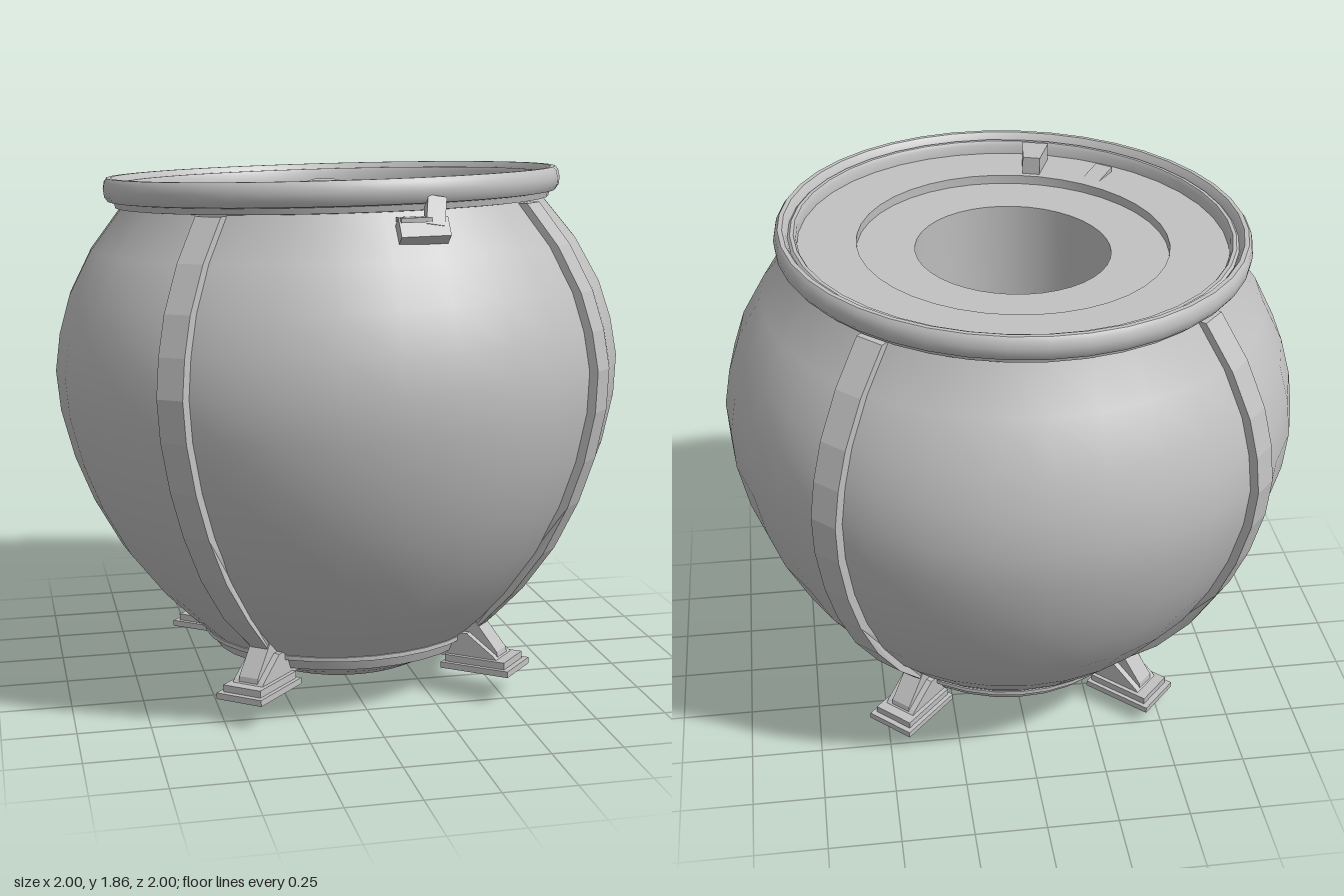
import * as THREE from 'three';
import { toCreasedNormals } from 'three/addons/utils/BufferGeometryUtils.js';

const grey = new THREE.MeshStandardMaterial({ name: 'plain grey', color: 0xc0c0c0 });

function part(name, geometry, parent) {
  const mesh = new THREE.Mesh(geometry, grey);
  mesh.name = name;
  parent.add(mesh);
  return mesh;
}

// Turned part from a profile of [radius, height] pairs
function lathe(points, segments = 32) {
  const profile = points.map(([r, y]) => new THREE.Vector2(r, y));
  return toCreasedNormals(new THREE.LatheGeometry(profile, segments), 0.6);
}

// Outline in the radius/height plane, given a width across
function slab(points, width) {
  const shape = new THREE.Shape(points.map(([r, y]) => new THREE.Vector2(r, y)));
  const geo = new THREE.ExtrudeGeometry(shape, { depth: width, bevelEnabled: false });
  return geo.translate(0, 0, -width / 2);
}

// Box whose width narrows toward -x by a ratio
function taperedBox(length, height, width, ratio) {
  const geo = new THREE.BoxGeometry(length, height, width);
  const p = geo.attributes.position;
  for (let i = 0; i < p.count; i++) if (p.getX(i) < 0) p.setZ(i, p.getZ(i) * ratio);
  geo.computeVertexNormals();
  return geo;
}

const bodyCurve = [
  [0.5, 0.19], [0.58, 0.265], [0.68, 0.37], [0.8, 0.53], [0.89, 0.7], [0.95, 0.86],
  [0.99, 1.03], [1.0, 1.17], [0.98, 1.3], [0.94, 1.43], [0.86, 1.58], [0.75, 1.72],
];

export function createModel() {
  const model = new THREE.Group();
  model.name = 'roundPot';

  // The whole pot leans slightly about its middle
  const lean = new THREE.Group();
  lean.name = 'leaningPot';
  lean.position.y = 1.1;
  lean.rotation.set(-0.035, 0, 0.02);
  model.add(lean);
  const pot = new THREE.Group();
  pot.name = 'pot';
  pot.position.y = -1.1;
  lean.add(pot);

  part('body', lathe([...bodyCurve, [0.74, 1.75]]), pot);

  // Base collar and shallow rounded bottom
  part('baseCollar', lathe([[0.42, 0.125], [0.475, 0.14], [0.49, 0.175], [0.51, 0.18], [0.51, 0.195], [0.48, 0.2]]), pot);
  part('bottomDome', lathe([[0, 0.003], [0.1, 0.01], [0.2, 0.028], [0.3, 0.062], [0.38, 0.1], [0.43, 0.13]]), pot);

  // Double-beaded rim with a thin lip below
  part('rim', lathe([
    [0.72, 1.72], [0.765, 1.725], [0.77, 1.745], [0.79, 1.748], [0.802, 1.765], [0.805, 1.79],
    [0.8, 1.815], [0.79, 1.828], [0.775, 1.828], [0.765, 1.815], [0.758, 1.8], [0.75, 1.808],
    [0.738, 1.808], [0.73, 1.795], [0.728, 1.755],
  ], 40), pot);

  // Stepped lid with a deep central well
  part('lid', lathe([
    [0.735, 1.762], [0.53, 1.762], [0.53, 1.73], [0.333, 1.73], [0.333, 1.15], [0, 1.15],
  ], 40), pot);

  // Block and low wedge on the lid
  const block = part('lidBlock', taperedBox(0.14, 0.07, 0.095, 0.65), pot);
  block.position.set(-0.155, 1.79, 0.6);
  block.rotation.y = -Math.atan2(0.6, -0.155);
  const wedge = part('lidWedge', slab([[-0.06, 0], [0.06, 0], [0.06, 0.02]], 0.065), pot);
  wedge.position.set(-0.375, 1.76, 0.5);
  wedge.rotation.y = -Math.atan2(0.5, -0.375);

  // Small catch under the front of the rim
  const plate = part('catchPlate', new THREE.BoxGeometry(0.16, 0.07, 0.05), pot);
  plate.position.set(0.115, 1.665, 0.815);
  plate.rotation.x = -0.6;
  const stem = part('catchStem', new THREE.BoxGeometry(0.06, 0.1, 0.05), pot);
  stem.position.set(0.16, 1.715, 0.79);
  stem.rotation.set(-0.5, 0, -0.2);
  const ledge = part('catchLedge', new THREE.BoxGeometry(0.1, 0.015, 0.07), pot);
  ledge.position.set(0.09, 1.7, 0.8);

  // Four straps, each ending in a braced foot
  const strapOutline = [
    ...bodyCurve.map(([r, y]) => [r + 0.028, y]),
    ...bodyCurve.map(([r, y]) => [r - 0.04, y]).reverse(),
  ];
  for (let i = 0; i < 4; i++) {
    const leg = new THREE.Group();
    leg.name = 'strapAndFoot' + (i + 1);
    leg.rotation.y = -THREE.MathUtils.degToRad(42.5 + 90 * i);
    pot.add(leg);

    // Strap, narrowing at its lower end
    const strap = slab(strapOutline, 0.1);
    const p = strap.attributes.position;
    for (let k = 0; k < p.count; k++) if (p.getY(k) < 0.3) p.setZ(k, p.getZ(k) * 0.6);
    strap.computeVertexNormals();
    part('strap', strap, leg);

    // Foot plates, side brace and central strut
    part('footPlate', new THREE.BoxGeometry(0.26, 0.022, 0.18), leg).position.set(0.58, 0.092, 0);
    part('upperFootPlate', new THREE.BoxGeometry(0.23, 0.025, 0.15), leg).position.set(0.575, 0.115, 0);
    part('footBrace', slab([[0.42, 0.12], [0.66, 0.12], [0.64, 0.14], [0.54, 0.21], [0.44, 0.21]], 0.12), leg);
    part('footStrut', slab([[0.44, 0.12], [0.65, 0.12], [0.645, 0.15], [0.56, 0.255], [0.5, 0.255]], 0.075), leg);
  }
  return model;
}
